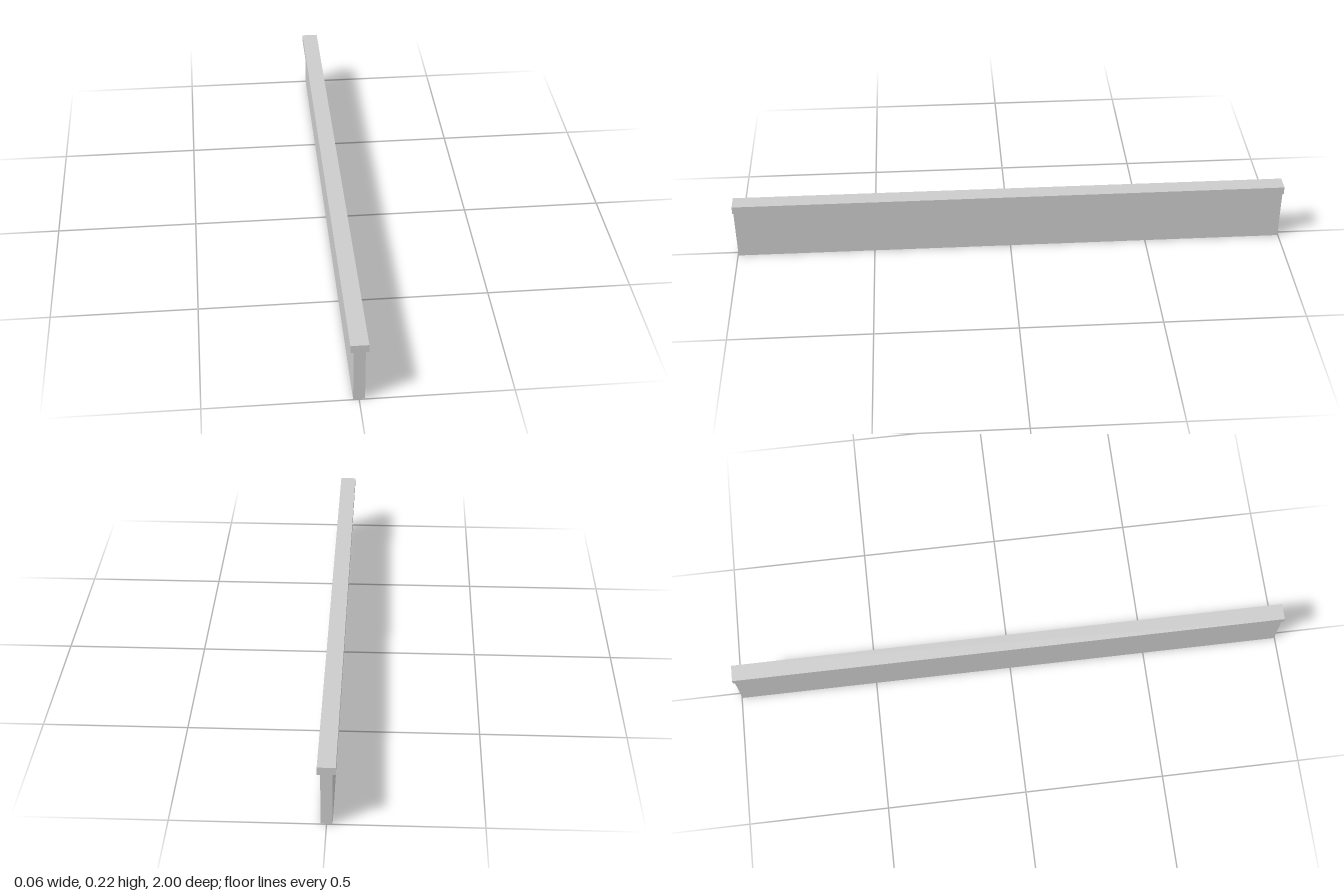
import * as THREE from 'three';

export function createModel() {
  const group = new THREE.Group();
  group.name = 'cappedWall';
  const material = new THREE.MeshStandardMaterial({ color: 0xcccccc, flatShading: true });

  // Adds a box standing on the given base height
  const addSlab = (name, width, height, length, base) => {
    const mesh = new THREE.Mesh(new THREE.BoxGeometry(width, height, length), material);
    mesh.name = name;
    mesh.position.y = base + height / 2;
    group.add(mesh);
  };

  const wallHeight = 0.194;
  addSlab('wall', 0.038, wallHeight, 1.996, 0);
  // Wider coping along the top
  addSlab('coping', 0.059, 0.0275, 2, wallHeight);

  return group;
}
